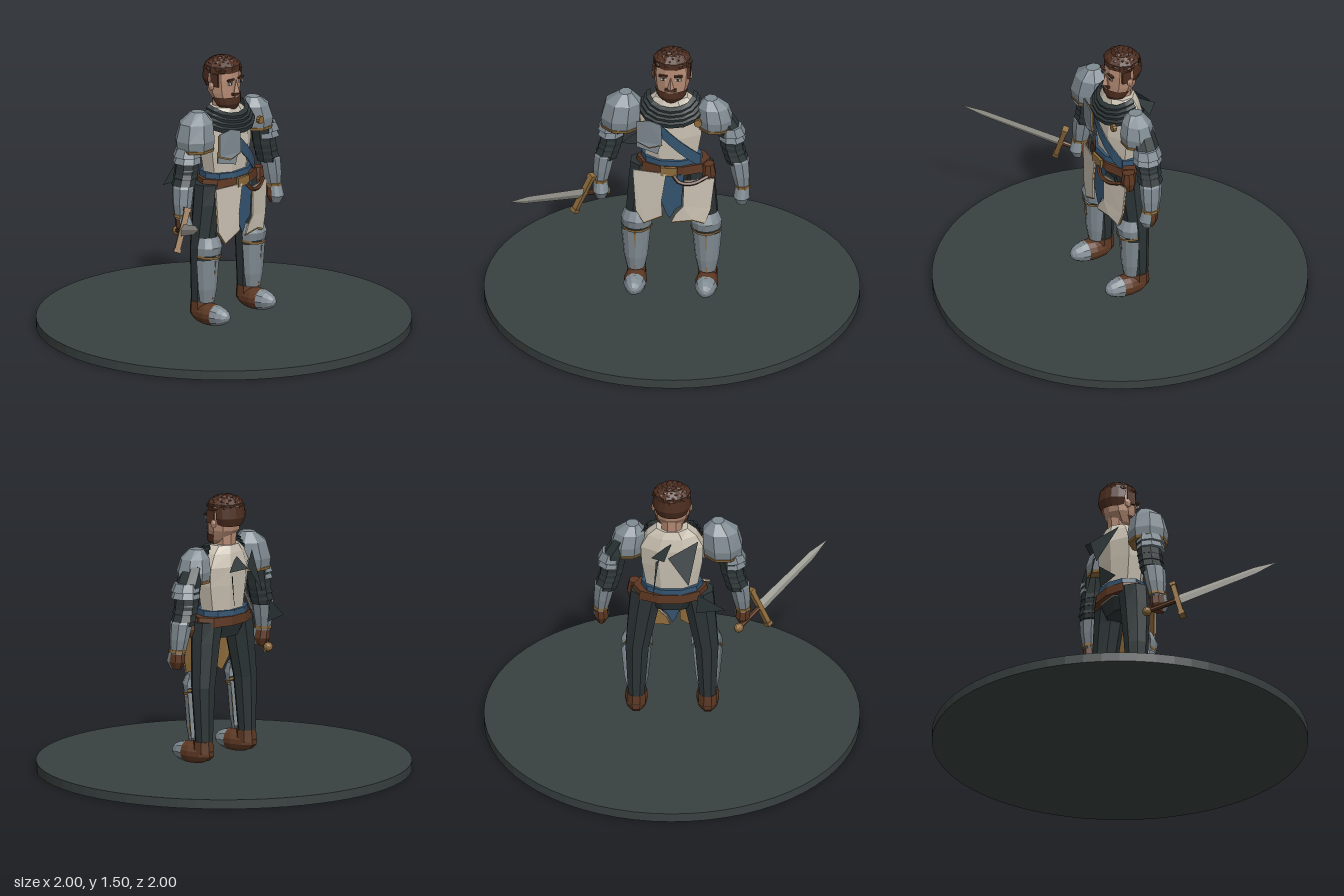
import * as THREE from 'three';

const paint = (name, color) => {
  const m = new THREE.MeshStandardMaterial({ color, side: THREE.DoubleSide });
  m.name = name;
  return m;
};

export function createModel() {
  const stone = paint('dark stone', 0x394140), cloth = paint('dark cloth', 0x2c3436);
  const steel = paint('steel', 0x808b92), linen = paint('linen', 0xc9c0b1);
  const blue = paint('blue cloth', 0x34536f), gold = paint('brass', 0x8d6b3c);
  const leather = paint('leather', 0x5c3722), hairMat = paint('hair', 0x4c2d1f);
  const skin = paint('skin', 0xb48a73), bladeMat = paint('blade steel', 0x9d9c94);
  const root = new THREE.Group();
  root.name = 'knight';

  // Faceted mesh from any geometry
  const add = (name, geo, mat, parent = root) => {
    const g = geo.index ? geo.toNonIndexed() : geo;
    g.computeVertexNormals();
    const mesh = new THREE.Mesh(g, mat);
    mesh.name = name;
    parent.add(mesh);
    return mesh;
  };

  // Stacked elliptical rings [x, y, z, rx, rz], lowest first; arc < PI leaves a front shell,
  // tilt lowers the front edge
  const loft = (rings, n = 8, arc = Math.PI, tilt = 0) => {
    const closed = arc === Math.PI, pos = [];
    const at = ([x, y, z, rx, rz], j) => {
      const t = closed ? ((j + 0.5) / n) * 2 * Math.PI : -arc + (2 * arc * j) / n;
      return [x + rx * Math.sin(t), y - tilt * Math.max(0, Math.cos(t)), z + rz * Math.cos(t)];
    };
    for (let j = 0; j < n; j++) {
      for (let i = 0; i < rings.length - 1; i++) {
        const a = at(rings[i], j), b = at(rings[i], j + 1);
        const c = at(rings[i + 1], j + 1), d = at(rings[i + 1], j);
        pos.push(...a, ...b, ...c, ...a, ...c, ...d);
      }
      if (closed) {
        const lo = rings[0], hi = rings[rings.length - 1];
        pos.push(...lo.slice(0, 3), ...at(lo, j + 1), ...at(lo, j));
        pos.push(...hi.slice(0, 3), ...at(hi, j), ...at(hi, j + 1));
      }
    }
    const g = new THREE.BufferGeometry();
    g.setAttribute('position', new THREE.Float32BufferAttribute(pos, 3));
    return g;
  };

  // Thin upright plate, bent back away from the middle
  const panel = (pts, z, bend = 0) => {
    const shape = new THREE.Shape(pts.map(p => new THREE.Vector2(...p)));
    const g = new THREE.ExtrudeGeometry(shape, { depth: 0.006, bevelEnabled: false });
    const p = g.attributes.position;
    for (let i = 0; i < p.count; i++) p.setZ(i, p.getZ(i) + z - bend * p.getX(i) ** 2);
    return g;
  };
  const box = (x, y, z, w, h, d) => new THREE.BoxGeometry(w, h, d).translate(x, y, z);

  // Base disc
  add('base', new THREE.CylinderGeometry(1, 1, 0.05, 64).translate(0, 0.025, 0), stone);

  // Torso, hips and belt
  add('surcoat', loft([[0, 0.8, 0.01, 0.16, 0.1], [0, 0.89, 0.01, 0.15, 0.1], [0, 1.02, 0.01, 0.175, 0.11],
    [0, 1.12, 0.005, 0.18, 0.11], [0, 1.19, 0, 0.14, 0.09], [0, 1.23, 0, 0.09, 0.075]]), linen);
  add('hips', loft([[0, 0.73, 0.01, 0.12, 0.07], [0, 0.82, 0.01, 0.19, 0.1]]), cloth);
  add('waistSash', loft([[0, 0.85, 0.01, 0.165, 0.118], [0, 0.885, 0.01, 0.162, 0.116]], 10), blue);
  add('belt', loft([[0.01, 0.805, 0.01, 0.205, 0.125], [0.01, 0.855, 0.01, 0.195, 0.122]], 10), leather);
  add('buckle', box(-0.005, 0.829, 0.135, 0.09, 0.05, 0.015), gold);
  add('pouch', loft([[0.2, 0.745, 0.06, 0.03, 0.03], [0.2, 0.79, 0.06, 0.042, 0.04], [0.2, 0.85, 0.06, 0.03, 0.035]]), leather);
  const strapCurve = new THREE.CatmullRomCurve3([[0.02, 0.81, 0.14], [0.05, 0.775, 0.15],
    [0.12, 0.765, 0.14], [0.2, 0.79, 0.1]].map(p => new THREE.Vector3(...p)));
  add('beltStrap', new THREE.TubeGeometry(strapCurve, 10, 0.011, 5), leather);

  // Diagonal chest sash
  for (let i = 0; i < 4; i++) {
    const x0 = -0.06 + i * 0.055, x1 = x0 + 0.055, y0 = 1.08 - i * 0.052, y1 = y0 - 0.052;
    add('chestSash', panel([[x0, y0 - 0.04], [x1, y1 - 0.04], [x1, y1 + 0.035], [x0, y0 + 0.035]], 0.122, 2), blue);
  }

  // Chest plates on the right breast, with brass rims
  const breast = [[-0.18, 1.0], [-0.11, 0.975], [-0.04, 1.0], [-0.045, 1.12], [-0.11, 1.14], [-0.18, 1.12]];
  const lower = [[-0.18, 0.96], [-0.065, 0.935], [-0.045, 1.01], [-0.18, 1.02]];
  add('lowerChestPlate', panel(lower, 0.135, 1), steel);
  add('chestPlateRim', panel(breast.map(([x, y]) => [x, y - 0.008]), 0.142, 1), gold);
  add('chestPlate', panel(breast, 0.148, 1), steel);

  // Tabard cloths, with brass hems
  add('tabardCentre', panel([[-0.05, 0.81], [-0.045, 0.64], [-0.02, 0.57], [0, 0.54], [0.03, 0.6],
    [0.06, 0.62], [0.075, 0.81]], 0.125), blue);
  const skirts = {
    rightTabard: [[-0.2, 0.82], [-0.185, 0.58], [-0.14, 0.51], [-0.04, 0.565], [-0.045, 0.66], [-0.02, 0.82]],
    leftTabard: [[0.075, 0.78], [0.07, 0.62], [0.03, 0.575], [0.01, 0.53], [0.12, 0.54], [0.185, 0.515], [0.215, 0.6], [0.235, 0.78]]
  };
  for (const [name, pts] of Object.entries(skirts)) {
    add(name + 'Hem', panel(pts.map(([x, y]) => [x, y - 0.01]), 0.133, 0.8), gold);
    add(name, panel(pts, 0.139, 0.8), linen);
  }

  // Layered throat guard
  for (let k = 0; k < 4; k++) {
    const y = 1.15 + k * 0.022, rx = 0.175 - k * 0.014, rz = 0.135 - k * 0.009;
    add('throatGuard', loft([[0, y, 0.01, rx, rz], [0, y + 0.025, 0.01, rx + 0.006, rz + 0.006],
      [0, y + 0.038, 0.01, rx - 0.016, rz - 0.016]], 8, 1.75, 0.05), cloth);
  }

  // Shoulder plates: the right one is larger
  const shoulder = (name, s, y, k) => {
    const x = s * (0.235 + 0.035 * (k - 0.85) / 0.15), z = 0.025;
    add(name + 'Rim', loft([[x, y - 0.012, z, 0.106 * k, 0.104 * k], [x, y + 0.004, z, 0.11 * k, 0.108 * k]]), gold);
    add(name, loft([[x, y, z, 0.105 * k, 0.103 * k], [x, y + 0.05, z, 0.112 * k, 0.11 * k],
      [x - s * 0.012, y + 0.14 * k, z, 0.1 * k, 0.09 * k], [x - s * 0.025, y + 0.195 * k, z, 0.035, 0.04]]), steel);
  };
  shoulder('rightShoulderPlate', -1, 1.055, 1);
  shoulder('leftShoulderPlate', 1, 1.065, 0.85);
  add('shoulderStud', new THREE.CylinderGeometry(0.022, 0.022, 0.02, 10).rotateX(Math.PI / 2).translate(0.15, 1.13, 0.125), gold);

  for (const s of [-1, 1]) {
    const side = s < 0 ? 'right' : 'left';
    // Arms
    add(side + 'UpperArm', loft([[s * 0.345, 0.84, 0.01, 0.055, 0.06], [s * 0.325, 0.93, 0.01, 0.062, 0.066],
      [s * 0.3, 1.06, 0.01, 0.065, 0.07], [s * 0.25, 1.15, 0.01, 0.06, 0.06]]), cloth);
    for (let k = 0; k < 3; k++)
      add(side + 'ArmBand', loft([[s * (0.345 - k * 0.012), 0.865 + k * 0.04, 0.01, 0.065, 0.07],
        [s * (0.335 - k * 0.012), 0.9 + k * 0.04, 0.01, 0.058, 0.062]]), cloth);
    for (let k = 0; k < 2; k++)
      add(side + 'ArmCup', loft([[s * 0.325, 0.985 + k * 0.035, 0.015, 0.073, 0.08],
        [s * 0.315, 1.03 + k * 0.035, 0.015, 0.06, 0.068]]), steel);
    add(side + 'Forearm', loft([[s * 0.378, 0.69, 0.025, 0.036, 0.042], [s * 0.37, 0.77, 0.02, 0.05, 0.056],
      [s * 0.358, 0.855, 0.015, 0.057, 0.062], [s * 0.35, 0.885, 0.012, 0.045, 0.05]]), steel);
    add(side + 'Cuff', loft([[s * 0.379, 0.697, 0.026, 0.043, 0.05], [s * 0.377, 0.713, 0.026, 0.043, 0.05]]), gold);
    const hand = g => [[s * 0.375, 0.605, 0.035, 0.022 + g, 0.03 + g], [s * 0.375, 0.645, 0.035, 0.04 + g, 0.052 + g],
      [s * 0.378, 0.7, 0.028, 0.034 + g, 0.042 + g]];
    add(side + 'Glove', loft(hand(0)), leather);
    add(side + 'HandPlate', loft(hand(0.005), 6, 1.35), steel);

    // Legs
    add(side + 'Leg', loft([[s * 0.19, 0.15, -0.01, 0.045, 0.048], [s * 0.185, 0.48, 0, 0.067, 0.065],
      [s * 0.15, 0.72, 0.01, 0.085, 0.078], [s * 0.13, 0.83, 0.01, 0.095, 0.08]]), cloth);
    add(side + 'Greave', loft([[s * 0.19, 0.185, 0.03, 0.048, 0.05], [s * 0.19, 0.26, 0.03, 0.064, 0.062],
      [s * 0.19, 0.43, 0.03, 0.08, 0.072]], 6, 1.5), steel);
    add(side + 'GreaveRidge', loft([[s * 0.19, 0.19, 0.078, 0.004, 0.006], [s * 0.19, 0.42, 0.1, 0.004, 0.006]], 4), gold);
    add(side + 'KneeTrim', loft([[s * 0.185, 0.445, 0.03, 0.084, 0.082], [s * 0.185, 0.46, 0.03, 0.086, 0.084]], 6, 1.45, 0.015), gold);
    add(side + 'KneePlate', loft([[s * 0.185, 0.45, 0.03, 0.08, 0.08], [s * 0.185, 0.495, 0.03, 0.085, 0.09],
      [s * 0.18, 0.55, 0.03, 0.07, 0.065]], 6, 1.45), steel);

    // Boots
    const fit = (g, k) => g.scale(0.062 * k, 0.06 * k, 0.13 * k).translate(s * 0.19, 0.118, 0.06);
    add(side + 'Boot', fit(new THREE.SphereGeometry(1, 10, 7), 1), leather);
    add(side + 'ToeCap', fit(new THREE.SphereGeometry(1, 10, 4, 0, 2 * Math.PI, 0, 1.25).rotateX(Math.PI / 2), 1.04), steel);
    add(side + 'BootCuff', loft([[s * 0.19, 0.12, -0.005, 0.055, 0.06], [s * 0.19, 0.185, -0.005, 0.052, 0.054]]), leather);

    // Face details in pairs
    add(side + 'EyeWhite', box(s * 0.04, 1.365, 0.08, 0.032, 0.014, 0.008), linen);
    add(side + 'Pupil', box(s * 0.038, 1.365, 0.083, 0.012, 0.014, 0.008), cloth);
    add(side + 'Eyebrow', box(s * 0.041, 1.385, 0.08, 0.045, 0.01, 0.014).rotateZ(0), hairMat);
    add(side + 'Ear', new THREE.IcosahedronGeometry(1, 0).scale(0.012, 0.028, 0.02).translate(s * 0.1, 1.35, -0.005), skin);
    add(side + 'Sideburn', box(s * 0.094, 1.385, 0.015, 0.014, 0.07, 0.05), hairMat);
  }

  // Head
  add('neck', loft([[0, 1.17, -0.01, 0.06, 0.055], [0, 1.3, -0.015, 0.058, 0.055]]), skin);
  add('head', loft([[0, 1.215, 0.03, 0.045, 0.035], [0, 1.255, 0.02, 0.075, 0.063], [0, 1.31, 0.0, 0.093, 0.084],
    [0, 1.38, -0.005, 0.1, 0.089], [0, 1.44, -0.01, 0.095, 0.09], [0, 1.47, -0.01, 0.07, 0.07]], 10), skin);
  add('nose', new THREE.ConeGeometry(0.02, 0.07, 4).scale(0.9, 1, 1.3).translate(0, 1.345, 0.085), skin);
  add('beard', loft([[0, 1.205, 0.03, 0.04, 0.04], [0, 1.25, 0.022, 0.08, 0.07], [0, 1.288, 0.008, 0.09, 0.083]], 8, 1.7), hairMat);
  add('beardBase', loft([[0, 1.203, 0.03, 0.004, 0.004], [0, 1.205, 0.03, 0.04, 0.04]], 8), hairMat);
  add('moustache', box(0, 1.304, 0.086, 0.062, 0.013, 0.014), hairMat);
  add('mouth', box(0, 1.29, 0.09, 0.034, 0.008, 0.008), skin);

  // Hair: cap, nape and spiral of tufts
  add('hairCap', loft([[0, 1.42, -0.01, 0.101, 0.096], [0, 1.455, -0.01, 0.1, 0.095], [0, 1.485, -0.012, 0.06, 0.06]], 10), hairMat);
  add('hairBack', loft([[0, 1.335, 0.005, 0.085, 0.085], [0, 1.38, 0.005, 0.104, 0.102], [0, 1.44, 0, 0.1, 0.1]], 8, 1.5)
    .rotateY(Math.PI).translate(0, 0, -0.012), hairMat);
  for (let i = 0; i < 54; i++) {
    const r = Math.sqrt((i + 0.5) / 54), a = i * 2.4;
    const tuft = new THREE.IcosahedronGeometry(0.021, 0).scale(1.2, 0.8, 1).rotateY(a);
    add('hairTuft', tuft.translate(0.09 * r * Math.sin(a), 1.482 - 0.05 * r ** 3, -0.012 + 0.085 * r * Math.cos(a)), hairMat);
  }

  // Torn cloak scraps behind the back
  const scraps = [
    [[-0.14, 1.18, -0.08], [0.02, 1.13, -0.17], [-0.09, 0.97, -0.19]],
    [[0.0, 1.17, -0.08], [0.11, 1.1, -0.12], [0.04, 1.12, -0.19]],
    [[-0.29, 0.81, -0.18], [-0.14, 0.92, -0.2], [-0.13, 0.8, -0.19]],
    [[0.07, 1.08, -0.11], [0.085, 1.07, -0.115], [0.1, 0.86, -0.15]]
  ];
  for (const tri of scraps) {
    const g = new THREE.BufferGeometry();
    g.setAttribute('position', new THREE.Float32BufferAttribute(tri.flat(), 3));
    add('cloakScrap', g, cloth);
  }

  // Sword, built upright from the guard and then aimed outwards
  const sword = new THREE.Group();
  sword.name = 'sword';
  root.add(sword);
  const bladeRings = [[0, 0.01, 0, 0.033, 0.01], [0, 0.44, 0, 0.024, 0.008], [0, 0.567, 0, 0.001, 0.001]];
  const diamond = loft(bladeRings.map(([x, y, z, rx, rz]) => [x, y, z, rx, rx]), 4).rotateY(Math.PI / 4).scale(1, 1, 0.3);
  add('blade', diamond, bladeMat, sword);
  add('guard', box(0, 0, 0, 0.23, 0.026, 0.03), gold, sword);
  for (const s of [-1, 1]) add('guardEnd', box(s * 0.112, 0, 0, 0.022, 0.034, 0.038), gold, sword);
  add('grip', new THREE.CylinderGeometry(0.014, 0.014, 0.16, 8).translate(0, -0.085, 0), leather, sword);
  add('pommel', new THREE.IcosahedronGeometry(0.026, 1).translate(0, -0.175, 0), gold, sword);
  const up = new THREE.Vector3(-0.355, 0.165, 0.41).normalize();
  const out = new THREE.Vector3(0.09, 0.22, 0);
  out.addScaledVector(up, -out.dot(up)).normalize();
  const basis = new THREE.Matrix4().makeBasis(out, up, new THREE.Vector3().crossVectors(out, up));
  sword.quaternion.setFromRotationMatrix(basis);
  sword.position.set(-0.465, 0.655, 0.1);

  return root;
}
